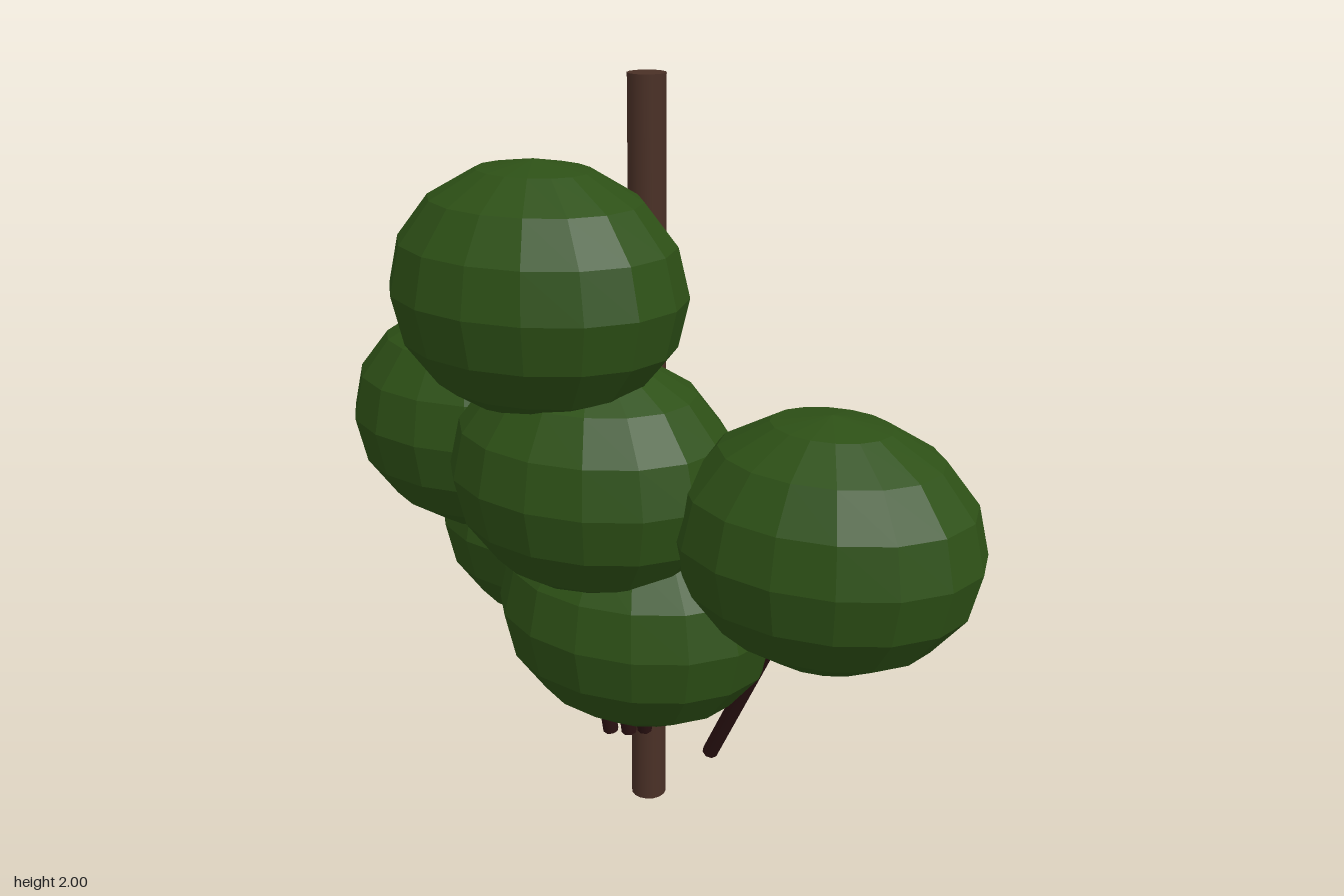
import * as THREE from 'three';

export function createModel() {
  const mat = (name, color, flatShading = false) => {
    const m = new THREE.MeshStandardMaterial({ color, flatShading });
    m.name = name;
    return m;
  };
  const bark = mat('trunk brown', 0x4a3026);
  const darkBark = mat('branch brown', 0x2b1212);
  const leaf = mat('leaf green', 0x2d5016, true);

  const tree = new THREE.Group();
  tree.name = 'tree';
  const add = (name, geometry, material) => {
    const mesh = new THREE.Mesh(geometry, material);
    mesh.name = name;
    tree.add(mesh);
    return mesh;
  };

  // Straight trunk, off centre because the crown leans to one side
  const trunkX = -0.07, trunkZ = -0.06;
  add('trunk', new THREE.CylinderGeometry(0.048, 0.048, 2, 16), bark).position.set(trunkX, 1, trunkZ);

  // Centres of the foliage clumps
  const clumps = [
    [-0.165, 1.535, 0.29],
    [0.555, 1.02, 0.205],
    [-0.05, 1.085, 0.24],
    [0.03, 0.71, 0.165],
    [-0.455, 0.70, -0.235],
    [-0.56, 1.105, -0.29],
    [-0.545, 1.08, 0.01],
  ];
  const clumpGeometry = new THREE.SphereGeometry(1, 16, 8).scale(0.373, 0.307, 0.3);
  const branchGeometry = new THREE.CylinderGeometry(0.021, 0.021, 1, 8);
  const up = new THREE.Vector3(0, 1, 0);

  clumps.forEach(([x, y, z], i) => {
    add('foliage' + (i + 1), clumpGeometry, leaf).position.set(x, y, z);

    // Thin branch rising outwards into the middle of its clump
    const tip = new THREE.Vector3(x, y, z);
    const base = new THREE.Vector3(
      THREE.MathUtils.lerp(trunkX, x, 0.4), 0.26, THREE.MathUtils.lerp(trunkZ, z, 0.4));
    const along = tip.clone().sub(base);
    const branch = add('branch' + (i + 1), branchGeometry, darkBark);
    branch.position.copy(base).add(tip).multiplyScalar(0.5);
    branch.scale.y = along.length();
    branch.quaternion.setFromUnitVectors(up, along.normalize());
  });

  return tree;
}
